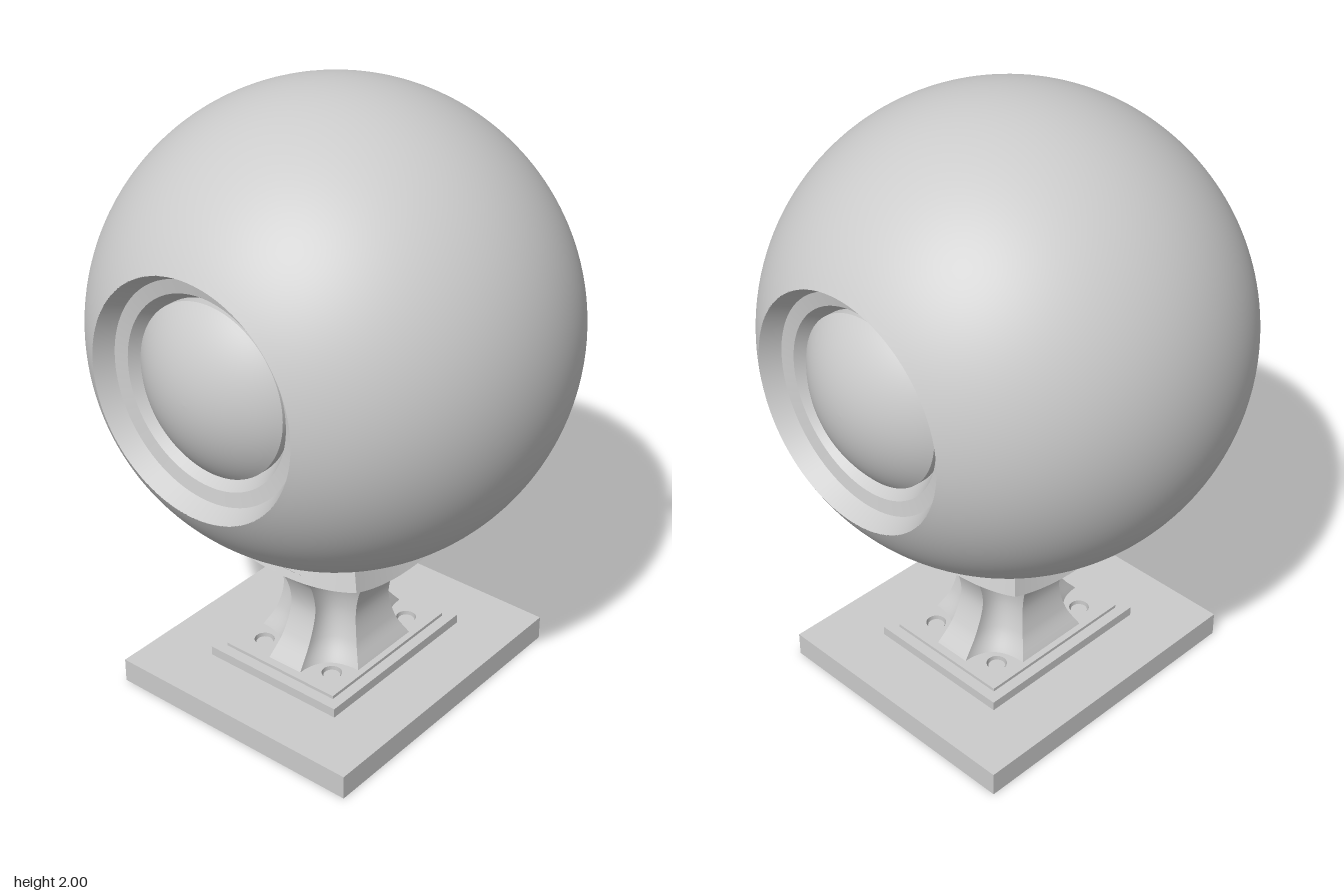
import * as THREE from 'three';
import { ParametricGeometry } from 'three/addons/geometries/ParametricGeometry.js';

const R = 0.75, CY = 1.25; // ball radius and centre height

export function createModel() {
  const model = new THREE.Group();
  const mat = new THREE.MeshStandardMaterial({ color: 0xcccccc });
  const add = (name, geo, parent = model) => {
    const mesh = new THREE.Mesh(geo, mat);
    mesh.name = name;
    parent.add(mesh);
    return mesh;
  };
  const V2 = (r, a) => new THREE.Vector2(r, a);
  const corners = [[1, 1], [1, -1], [-1, 1], [-1, -1]];

  // Ball, truncated at both ends of the x axis
  const ball = new THREE.Group();
  ball.name = 'ball';
  ball.position.y = CY;
  model.add(ball);
  const limit = Math.asin(0.65 / R);
  const band = [];
  for (let i = 0; i <= 64; i++) {
    const a = -limit + (2 * limit * i) / 64;
    band.push(V2(R * Math.cos(a), R * Math.sin(a)));
  }
  add('ballShell', new THREE.LatheGeometry(band, 128).rotateZ(-Math.PI / 2), ball);

  // Stepped round socket with a domed centre, on each end
  const dome = [];
  const domeR = 0.4, edge = Math.asin(0.27 / domeR);
  for (let i = 0; i <= 16; i++) {
    const a = edge * (1 - i / 16);
    dome.push(V2(domeR * Math.sin(a), 0.665 - domeR + domeR * Math.cos(a)));
  }
  const steps = {
    socketOuterWall: [V2(0.375, 0.65), V2(0.345, 0.59)],
    socketLedge: [V2(0.345, 0.59), V2(0.3, 0.582)],
    socketInnerWall: [V2(0.3, 0.582), V2(0.27, 0.53)],
    socketDomeSide: [V2(0.27, 0.53), dome[0]],
    socketDome: dome,
  };
  for (const side of [1, -1]) {
    for (const [name, pts] of Object.entries(steps)) {
      add(name, new THREE.LatheGeometry(pts, 96).rotateZ(-side * Math.PI / 2), ball);
    }
  }

  // Saddle: a square plate bent around the underside of the ball
  const saddleGeo = new THREE.BoxGeometry(2, 1, 2, 28, 1, 28);
  const p = saddleGeo.attributes.position;
  for (let i = 0; i < p.count; i++) {
    const r = p.getY(i) > 0 ? 0.748 : 0.815;
    const x = p.getX(i) * 0.255 * r / R, z = p.getZ(i) * 0.281 * r / R;
    p.setXYZ(i, x, CY - Math.sqrt(r * r - x * x - z * z), z);
  }
  saddleGeo.computeVertexNormals();
  add('saddle', saddleGeo);

  // Saddle bolts, pointing away from the ball centre
  for (const [sx, sz] of corners) {
    const dir = new THREE.Vector3(sx * 0.215, 0, sz * 0.215);
    dir.y = -Math.sqrt(0.815 ** 2 - dir.x ** 2 - dir.z ** 2);
    dir.normalize();
    const bolt = add('saddleBolt', new THREE.CylinderGeometry(0.03, 0.03, 0.03, 24));
    bolt.position.copy(dir).multiplyScalar(0.806);
    bolt.position.y += CY;
    bolt.quaternion.setFromUnitVectors(new THREE.Vector3(0, 1, 0), dir);
  }

  // Waisted column: flat faces joined by concave corners
  const outer = new THREE.CatmullRomCurve3([
    [0.262, 0.122, 0.202], [0.2, 0.2, 0.166], [0.165, 0.3, 0.151],
    [0.188, 0.4, 0.18], [0.245, 0.475, 0.25], [0.27, 0.51, 0.285],
  ].map((a) => new THREE.Vector3(...a)), false, 'catmullrom');
  const inner = new THREE.CatmullRomCurve3([
    [0.135, 0.122, 0.065], [0.1, 0.2, 0.054], [0.085, 0.3, 0.05],
    [0.1, 0.4, 0.054], [0.145, 0.475, 0.07], [0.17, 0.51, 0.08],
  ].map((a) => new THREE.Vector3(...a)), false, 'catmullrom');
  const bend = (a, b, c, u) => (1 - u) ** 2 * a + 2 * u * (1 - u) * b + u * u * c;
  const faces = {
    columnFace: (u, o, f) => [f.x * (2 * u - 1), o.z],
    columnFluteFront: (u, o, f) => [bend(f.x, f.x, o.x, u), bend(o.z, f.z, f.z, u)],
    columnSide: (u, o, f) => [o.x, f.z * (1 - 2 * u)],
    columnFluteBack: (u, o, f) => [bend(o.x, f.x, f.x, u), -bend(f.z, f.z, o.z, u)],
  };
  const column = new THREE.Group();
  column.name = 'column';
  model.add(column);
  for (const turn of [0, Math.PI]) {
    for (const [name, section] of Object.entries(faces)) {
      const geo = new ParametricGeometry((u, v, target) => {
        const o = outer.getPoint(v), f = inner.getPoint(v);
        const [x, z] = section(u, o, f);
        target.set(x, o.y, z);
      }, 12, 40);
      add(name, geo.rotateY(turn), column);
    }
  }

  // Stepped base plates with four screw holes
  const plate = (name, hx, hz, y0, y1, holeR) => {
    const shape = new THREE.Shape([V2(-hx, -hz), V2(hx, -hz), V2(hx, hz), V2(-hx, hz)]);
    for (const [sx, sz] of corners) {
      shape.holes.push(new THREE.Path().absarc(sx * 0.195, sz * 0.142, holeR, 0, Math.PI * 2, true));
    }
    const geo = new THREE.ExtrudeGeometry(shape, { depth: y1 - y0, bevelEnabled: false, curveSegments: 24 });
    add(name, geo.rotateX(-Math.PI / 2).translate(0, y0, 0));
  };
  plate('basePlate', 0.525, 0.458, 0, 0.082, 0.025);
  plate('middlePlate', 0.325, 0.258, 0.082, 0.114, 0.033);
  plate('topPlate', 0.288, 0.222, 0.114, 0.125, 0.033);

  // Screws sunk in the holes
  for (const [sx, sz] of corners) {
    const shaft = add('baseScrew', new THREE.CylinderGeometry(0.0248, 0.0248, 0.09, 24));
    shaft.position.set(sx * 0.195, 0.053, sz * 0.142);
    const head = add('baseScrewHead', new THREE.CylinderGeometry(0.027, 0.03, 0.03, 24));
    head.position.set(sx * 0.195, 0.1, sz * 0.142);
  }
  return model;
}
